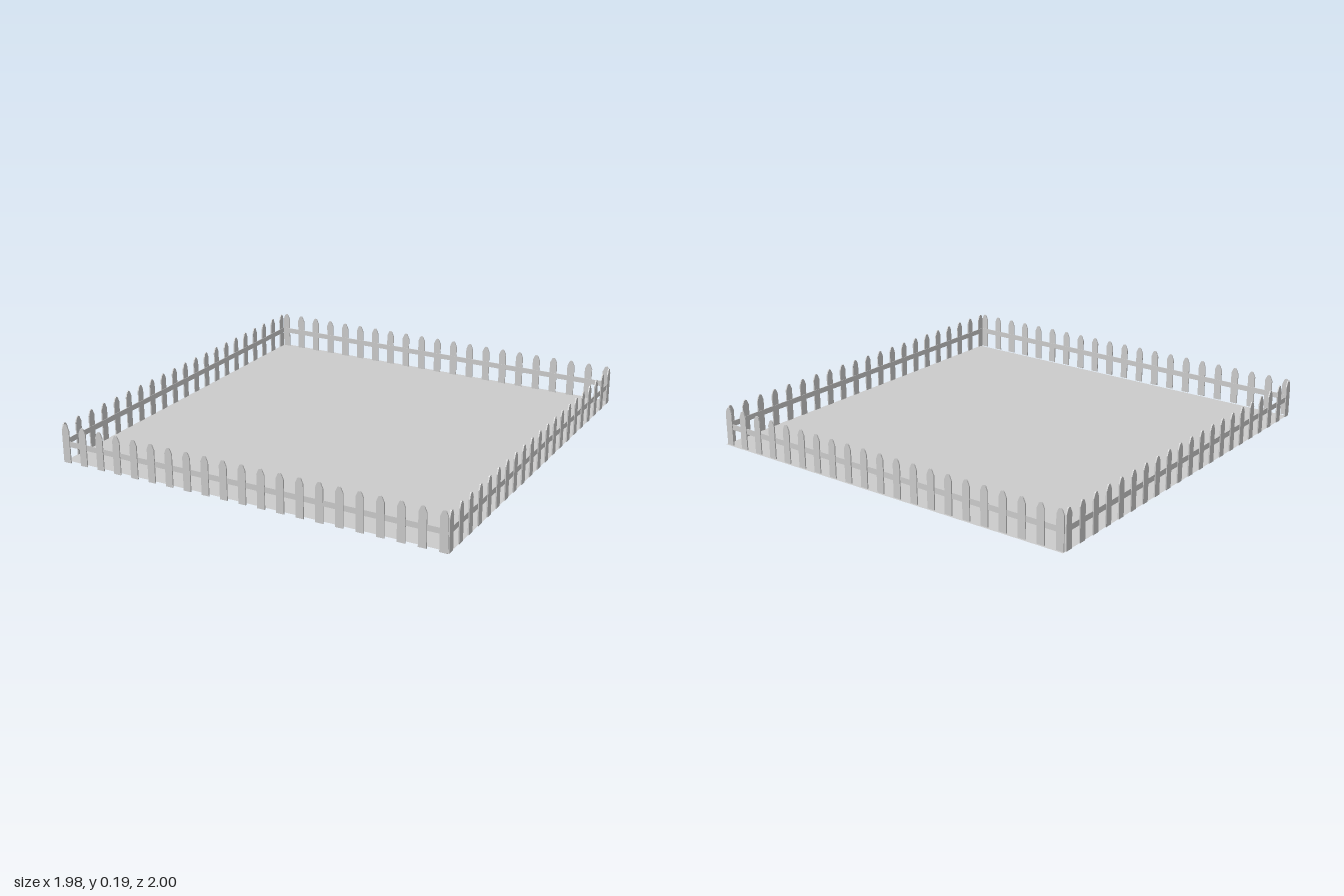
import * as THREE from 'three';

const COUNT = 21, PITCH = 0.0968, THICK = 0.006;
const material = new THREE.MeshStandardMaterial({ color: 0xcccccc, flatShading: true });

// Picket outline: straight sides with a blunted point
function picketGeometry() {
  const shape = new THREE.Shape([
    [-0.019, 0], [0.019, 0], [0.019, 0.162], [0.009, 0.185],
    [0.004, 0.19], [-0.004, 0.19], [-0.009, 0.185], [-0.019, 0.162],
  ].map(([x, y]) => new THREE.Vector2(x, y)));
  return new THREE.ExtrudeGeometry(shape, { depth: THICK, bevelEnabled: false })
    .translate(0, 0, -THICK / 2);
}

// One run of fence along x, outer face towards +z
function makeFence(name, picketGeo) {
  const fence = new THREE.Group();
  fence.name = name;
  for (let i = 0; i < COUNT; i++) {
    const picket = new THREE.Mesh(picketGeo, material);
    picket.name = 'picket';
    picket.position.x = (i - (COUNT - 1) / 2) * PITCH;
    fence.add(picket);
  }
  const length = (COUNT - 1) * PITCH + 0.038;
  const rail = new THREE.Mesh(new THREE.BoxGeometry(length, 0.027, 0.004), material);
  rail.name = 'rail';
  rail.position.set(0, 0.094, -0.003);
  fence.add(rail);
  return fence;
}

export function createModel() {
  const model = new THREE.Group();
  model.name = 'fencedYard';

  // Thin ground sheet, set slightly towards the back
  const groundMaterial = material.clone();
  groundMaterial.side = THREE.DoubleSide;
  const ground = new THREE.Mesh(new THREE.PlaneGeometry(1.98, 1.98), groundMaterial);
  ground.name = 'ground';
  ground.rotation.x = -Math.PI / 2;
  ground.position.set(0, 0.001, -0.01);
  model.add(ground);

  // Four fence runs: name, x, z, turn about y
  const picketGeo = picketGeometry();
  const runs = [
    ['frontFence', 0, 0.996, 0],
    ['backFence', 0, -0.988, Math.PI],
    ['leftFence', 0.989, 0.008, Math.PI / 2],
    ['rightFence', -0.989, 0.008, -Math.PI / 2],
  ];
  for (const [name, x, z, turn] of runs) {
    const fence = makeFence(name, picketGeo);
    fence.position.set(x, 0, z);
    fence.rotation.y = turn;
    model.add(fence);
  }
  return model;
}
